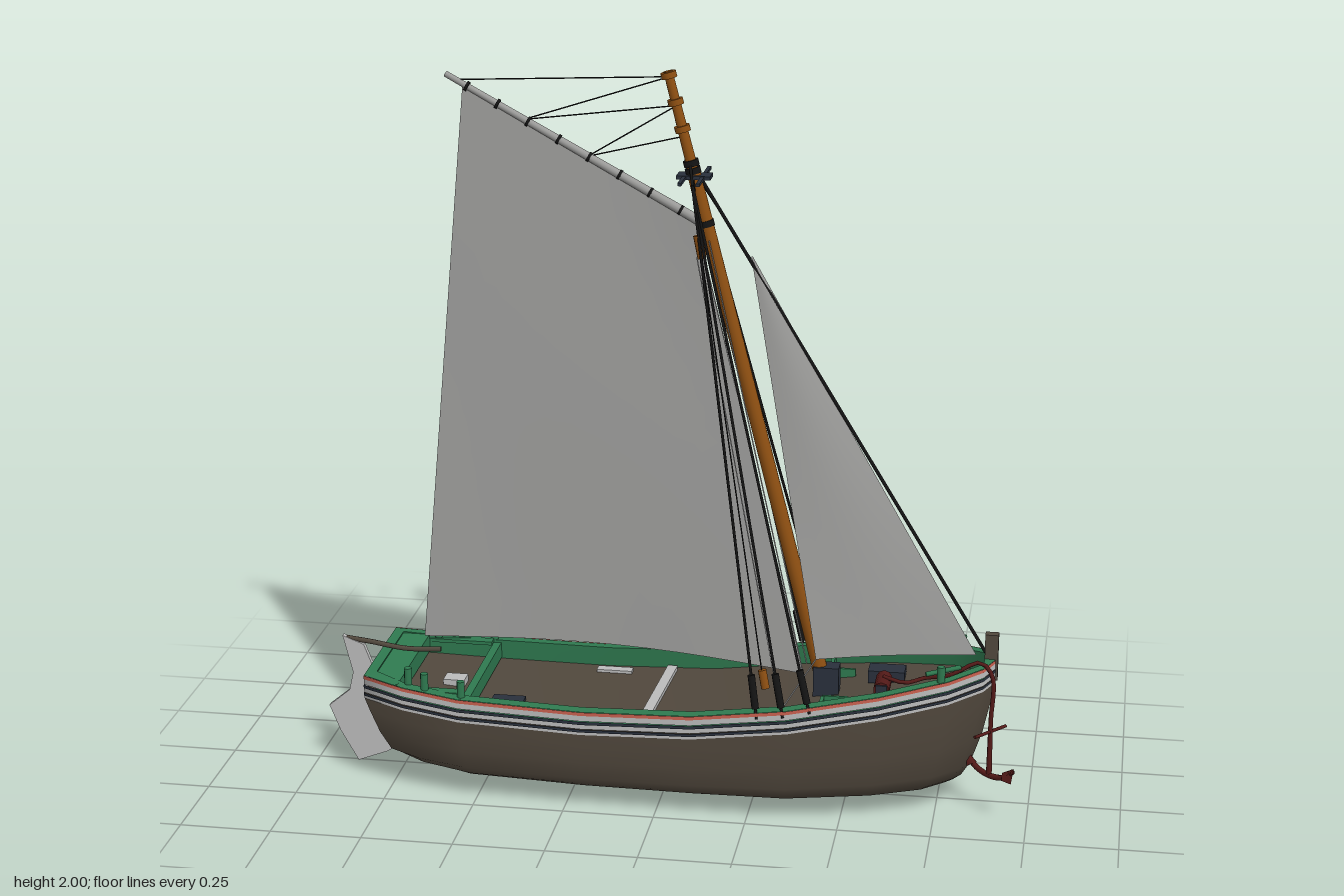
import * as THREE from 'three';

const mat = (name, color) => Object.assign(new THREE.MeshStandardMaterial({ color, side: THREE.DoubleSide }), { name });
const V = (x, y, z) => new THREE.Vector3(x, y, z);

// Hull stations: deck x, deck half width, rail height, bottom x, bottom half width
const STATIONS = [
  [-0.815, 0.18, 0.335, -0.74, 0.05], [-0.70, 0.21, 0.318, -0.66, 0.12],
  [-0.54, 0.235, 0.304, -0.52, 0.18], [-0.20, 0.247, 0.296, -0.20, 0.205],
  [0.10, 0.25, 0.305, 0.10, 0.21], [0.36, 0.25, 0.338, 0.35, 0.205],
  [0.60, 0.205, 0.375, 0.57, 0.15], [0.78, 0.14, 0.405, 0.69, 0.09],
  [0.87, 0.07, 0.42, 0.74, 0.035], [0.898, 0.012, 0.425, 0.76, 0.01],
];
const KEEL = 0.06, BAND = 0.066;

// Surface through a list of equally long point rows
function loft(rows) {
  const n = rows[0].length, pos = [], idx = [];
  rows.forEach(r => r.forEach(p => pos.push(p.x, p.y, p.z)));
  for (let i = 0; i < rows.length - 1; i++) for (let j = 0; j < n - 1; j++) {
    const a = i * n + j, b = a + n;
    idx.push(a, b, a + 1, b, b + 1, a + 1);
  }
  const g = new THREE.BufferGeometry();
  g.setAttribute('position', new THREE.Float32BufferAttribute(pos, 3));
  g.setIndex(idx);
  g.computeVertexNormals();
  return g;
}

// Closed line round the hull at a drop below the rail, moved inwards by inset
function outline(drop, inset) {
  const side = s => STATIONS.map(([x, w, y]) => V(
    THREE.MathUtils.clamp(x, -0.815 + inset, 0.898 - inset), y - drop, s * Math.max(w - inset, 0.002)));
  const pts = [...side(1).reverse(), ...side(-1)];
  return [...pts, pts[0].clone()];
}

export function createModel() {
  const M = {
    hull: mat('tarred brown', 0x51483d), sail: mat('sailcloth grey', 0x9b9b99),
    pale: mat('pale grey paint', 0xbcbcbc), navy: mat('dark navy', 0x29303c),
    red: mat('salmon trim', 0xc9604f), green: mat('green paint', 0x2f7a50),
    wood: mat('varnished wood', 0x8f5012), black: mat('black rigging', 0x141414),
    rust: mat('anchor red', 0x541a18),
  };
  const model = new THREE.Group();
  const add = (name, geo, m, x = 0, y = 0, z = 0, parent = model) => {
    const mesh = new THREE.Mesh(geo, m);
    mesh.name = name;
    mesh.position.set(x, y, z);
    parent.add(mesh);
    return mesh;
  };
  const box = (name, w, h, d, m, x, y, z) => add(name, new THREE.BoxGeometry(w, h, d), m, x, y, z);
  const spar = (name, a, b, r0, r1, m, sides = 5, parent = model) => {
    const d = b.clone().sub(a), mid = a.clone().add(b).multiplyScalar(0.5);
    const s = add(name, new THREE.CylinderGeometry(r1, r0, d.length(), sides), m, mid.x, mid.y, mid.z, parent);
    s.quaternion.setFromUnitVectors(V(0, 1, 0), d.normalize());
    return s;
  };
  const tube = (name, pts, r, m, parent = model) =>
    add(name, new THREE.TubeGeometry(new THREE.CatmullRomCurve3(pts), 20, r, 6), m, 0, 0, 0, parent);

  // Hull: each section runs from one side under the keel to the other
  const half = [[1, 1, 1], [0.8, 0.98, 1], [0.5, 0.9, 1], [0.2, 0.65, 1], [0.07, 0.3, 1], [0.015, 0, 1], [0, 0, 0.85]];
  const sections = STATIONS.map(([xd, w, y, xb, b]) => {
    const side = s => half.map(([h, k, f]) => V(
      xb + (xd - xb) * Math.pow(h, xd < 0 ? 1 : 0.35),
      KEEL + h * (y - BAND - KEEL), s * f * (b + (w - b) * k)));
    return [...side(1), ...side(-1).reverse()];
  });
  add('hull', loft(sections), M.hull);
  const cap = sections[0], capRows = half.map((_, i) => [cap[i].clone(), cap[cap.length - 1 - i].clone()]);
  add('transom', loft(capRows), M.hull);
  const stemCap = sections[sections.length - 1];
  add('stem', loft(half.map((_, i) => [stemCap[i].clone(), stemCap[stemCap.length - 1 - i].clone()])), M.hull);

  // Painted strakes round the topsides: top drop, bottom drop, inset
  [['red rail edge', 0, 0.010, -0.003, 'red'], ['upper pale strake', 0.010, 0.027, 0, 'pale'],
    ['upper navy strake', 0.027, 0.036, -0.004, 'navy'], ['middle pale strake', 0.036, 0.050, 0, 'pale'],
    ['lower navy strake', 0.050, 0.058, -0.004, 'navy'], ['lower pale strake', 0.058, 0.067, 0, 'pale'],
  ].forEach(([name, a, b, inset, m]) => add(name, loft([outline(a, inset), outline(b, inset)]), M[m]));
  add('cap rail', loft([outline(0, -0.001), outline(-0.002, 0.03)]), M.green);
  add('bulwark lining', loft([outline(-0.002, 0.03), outline(0.06, 0.024)]), M.green);
  add('deck', loft(STATIONS.map(([x, w, y]) => [V(x, y - 0.055, w - 0.006), V(x, y - 0.055, 0.006 - w)])), M.hull);

  // Stern deck, thwart and foredeck edges
  const sternDeck = [[-0.81, 0.178, 0.336], [-0.72, 0.203, 0.323]];
  add('stern deck', loft(sternDeck.map(([x, w, y]) => [V(x, y, w), V(x, y, -w)])), M.green);
  box('stern deck face', 0.008, 0.05, 0.40, M.green, -0.72, 0.297, 0);
  box('thwart', 0.022, 0.045, 0.43, M.green, -0.525, 0.275, 0);
  for (const s of [1, -1]) {
    box('side seat', 0.18, 0.01, 0.03, M.green, -0.625, 0.305, s * 0.19);
    box('foredeck coaming', 0.01, 0.03, 0.11, M.green, 0.44, 0.31, s * 0.155);
    box('foredeck coaming', 0.07, 0.03, 0.008, M.green, 0.475, 0.312, s * 0.10);
    for (const [x, y, z] of [[-0.69, 0.335, 0.18], [-0.64, 0.33, 0.2], [-0.535, 0.32, 0.215], [0.76, 0.415, 0.135]])
      add('bollard', new THREE.CylinderGeometry(0.011, 0.011, 0.05, 8), M.green, x, y + 0.005, s * z);
    spar('bow cleat', V(0.72, 0.425, s * 0.145), V(0.81, 0.437, s * 0.11), 0.007, 0.007, M.green);
  }

  // Deck fittings
  const bar = box('sheet horse', 0.028, 0.012, 0.42, M.pale, -0.03, 0.253, 0);
  bar.rotation.y = -0.05;
  box('pale hatch', 0.10, 0.008, 0.03, M.pale, -0.18, 0.247, -0.18);
  box('pale box', 0.06, 0.02, 0.05, M.pale, -0.60, 0.262, 0);
  box('pale cleat', 0.06, 0.012, 0.025, M.pale, -0.57, 0.258, 0.175);
  box('navy grating', 0.09, 0.01, 0.06, M.navy, -0.43, 0.252, 0.10);
  box('fore hatch', 0.10, 0.035, 0.06, M.navy, 0.60, 0.335, -0.06);
  box('mast case', 0.07, 0.09, 0.05, M.navy, 0.44, 0.33, 0);
  spar('winch drum', V(0.60, 0.36, 0.03), V(0.60, 0.36, 0.12), 0.022, 0.022, M.rust, 10);
  for (const z of [0.03, 0.12]) box('winch stand', 0.03, 0.06, 0.012, M.navy, 0.60, 0.345, z);

  // Stem post, rudder and tiller
  box('stem post', 0.036, 0.13, 0.026, M.hull, 0.886, 0.43, 0);
  const blade = new THREE.Shape([[-0.92, 0.378], [-0.86, 0.355], [-0.75, 0.065], [-0.80, 0.035], [-0.885, 0.002],
    [-0.935, 0.09], [-0.965, 0.165], [-0.905, 0.215], [-0.893, 0.27]].map(p => new THREE.Vector2(...p)));
  add('rudder', new THREE.ExtrudeGeometry(blade, { depth: 0.016, bevelEnabled: false }), M.pale, 0, 0, -0.008);
  tube('tiller', [V(-0.91, 0.37, 0), V(-0.84, 0.362, 0), V(-0.74, 0.348, 0), V(-0.64, 0.352, 0)], 0.007, M.hull);

  // Raked mast with bands and crosstrees
  const foot = V(0.445, 0.27, 0), top = V(0, 2, 0);
  const onMast = (y, z = 0) => V(0.445 * (2 - y) / 1.73, y, z);
  spar('mast', foot, onMast(1.74), 0.021, 0.018, M.wood, 14);
  spar('topmast', onMast(1.74), top, 0.015, 0.012, M.wood, 12);
  for (const y of [1.99, 1.92, 1.85, 1.76, 1.74, 1.60])
    spar('mast band', onMast(y - 0.008), onMast(y + 0.008), 0.021, 0.021, M[y > 1.8 ? 'wood' : 'black'], 12);
  const tree = onMast(1.725);
  for (const dx of [-0.024, 0.024]) box('crosstree', 0.01, 0.008, 0.21, M.navy, tree.x + dx, 1.725, 0);
  box('trestle', 0.09, 0.01, 0.05, M.navy, tree.x, 1.725, 0);

  // Standing rigging, blocks and light lines on both sides
  for (const s of [1, -1]) {
    [[0.28, 0.33], [0.35, 0.338], [0.42, 0.35]].forEach(([x, y], i) => {
      const a = onMast(1.755, s * 0.02), k = V(a.x + 0.01, 1.71, s * 0.05), end = V(x, y - 0.02, s * (i === 2 ? 0.24 : 0.25));
      spar('shroud', a, k, 0.004, 0.004, M.black);
      spar('shroud', k, end, 0.004, 0.004, M.black);
      const low = end.clone().lerp(k, 0.085);
      spar('shroud tackle', end.clone().lerp(k, 0.02), low, 0.010, 0.010, M.black, 8);
    });
    spar('side block', V(0.09, 1.58, s * 0.055), V(0.10, 1.52, s * 0.06), 0.015, 0.012, M.wood, 8);
    spar('deck block', V(0.29, 0.44, s * 0.22), V(0.30, 0.39, s * 0.225), 0.012, 0.012, M.wood, 8);
    spar('block strop', onMast(1.73, s * 0.02), V(0.09, 1.58, s * 0.055), 0.003, 0.003, M.black);
    spar('tackle line', V(0.10, 1.52, s * 0.06), V(0.29, 0.43, s * 0.22), 0.0018, 0.0018, M.black, 4);
    spar('halyard', onMast(1.56, s * 0.025), V(0.38, 0.36, s * 0.04), 0.0018, 0.0018, M.pale, 4);
    spar('fall line', V(0.085, 1.52, s * 0.05), V(0.33, 0.36, s * 0.2), 0.0016, 0.0016, M.pale, 4);
  }
  spar('forestay', onMast(1.765), V(0.87, 0.44, 0), 0.005, 0.005, M.black);
  spar('jib halyard', onMast(1.74), V(0.22, 1.51, 0), 0.002, 0.002, M.black, 4);
  spar('jib sheet', V(0.42, 0.43, 0.1), V(0.34, 0.32, 0.2), 0.002, 0.002, M.pale, 4);

  // Gaff, its lashings and its lifting lines
  const throat = V(0.085, 1.605, 0), peak = V(-0.59, 1.975, 0);
  spar('gaff', throat, peak, 0.013, 0.008, M.sail, 10);
  for (let i = 0; i < 8; i++) {
    const p = throat.clone().lerp(peak, 0.07 + i * 0.12), q = throat.clone().lerp(peak, 0.08 + i * 0.12);
    spar('gaff lashing', p, q, 0.014, 0.014, M.black, 8);
  }
  [[1.985, 0.96], [1.985, 0.69], [1.91, 0.69], [1.91, 0.44], [1.83, 0.44]].forEach(([y, t]) =>
    spar('peak halyard', onMast(y), throat.clone().lerp(peak, t), 0.0018, 0.0018, M.black, 4));

  // Sails: four corners blended, with a little belly and a lifted foot
  const sail = (name, tl, tr, bl, br, belly, lift) => {
    const rows = [];
    for (let i = 0; i <= 14; i++) {
      const v = i / 14, row = [];
      for (let j = 0; j <= 12; j++) {
        const u = j / 12, p = tl.clone().lerp(tr, u).lerp(bl.clone().lerp(br, u), v);
        p.z += belly * Math.sin(Math.PI * u) * Math.sin(Math.PI * v);
        p.y += lift * Math.sin(Math.PI * u) * v * v;
        row.push(p);
      }
      rows.push(row);
    }
    add(name, loft(rows), M.sail);
  };
  sail('mainsail', V(-0.545, 1.945, 0), V(0.075, 1.605, 0), V(-0.66, 0.43, 0.10), V(0.375, 0.345, 0), 0.012, 0.03);
  sail('jib', V(0.222, 1.515, 0), V(0.226, 1.515, 0), V(0.42, 0.43, 0.10), V(0.845, 0.43, 0), 0.012, 0.006);

  // Anchor hanging at the bow with its chain
  const anchor = new THREE.Group();
  anchor.name = 'anchor';
  anchor.position.set(0.893, 0, 0.072);
  anchor.rotation.y = -0.7;
  model.add(anchor);
  spar('shank', V(0, 0.115, 0), V(0, 0.27, 0), 0.008, 0.006, M.rust, 6, anchor);
  spar('stock', V(0, 0.24, -0.06), V(0, 0.24, 0.06), 0.005, 0.005, M.rust, 6, anchor);
  tube('arms', [V(-0.085, 0.15, 0), V(-0.05, 0.122, 0), V(0, 0.112, 0), V(0.05, 0.122, 0), V(0.085, 0.15, 0)], 0.008, M.rust, anchor);
  for (const s of [1, -1]) {
    const fluke = add('fluke', new THREE.ConeGeometry(0.02, 0.045, 4), M.rust, s * 0.077, 0.142, 0, anchor);
    fluke.rotation.z = -s * 0.6;
  }
  tube('anchor chain', [V(0.893, 0.27, 0.072), V(0.893, 0.40, 0.07), V(0.86, 0.437, 0.07), V(0.78, 0.40, 0.08),
    V(0.71, 0.375, 0.05), V(0.66, 0.37, 0.08), V(0.60, 0.383, 0.075)], 0.006, M.rust);

  return model;
}
